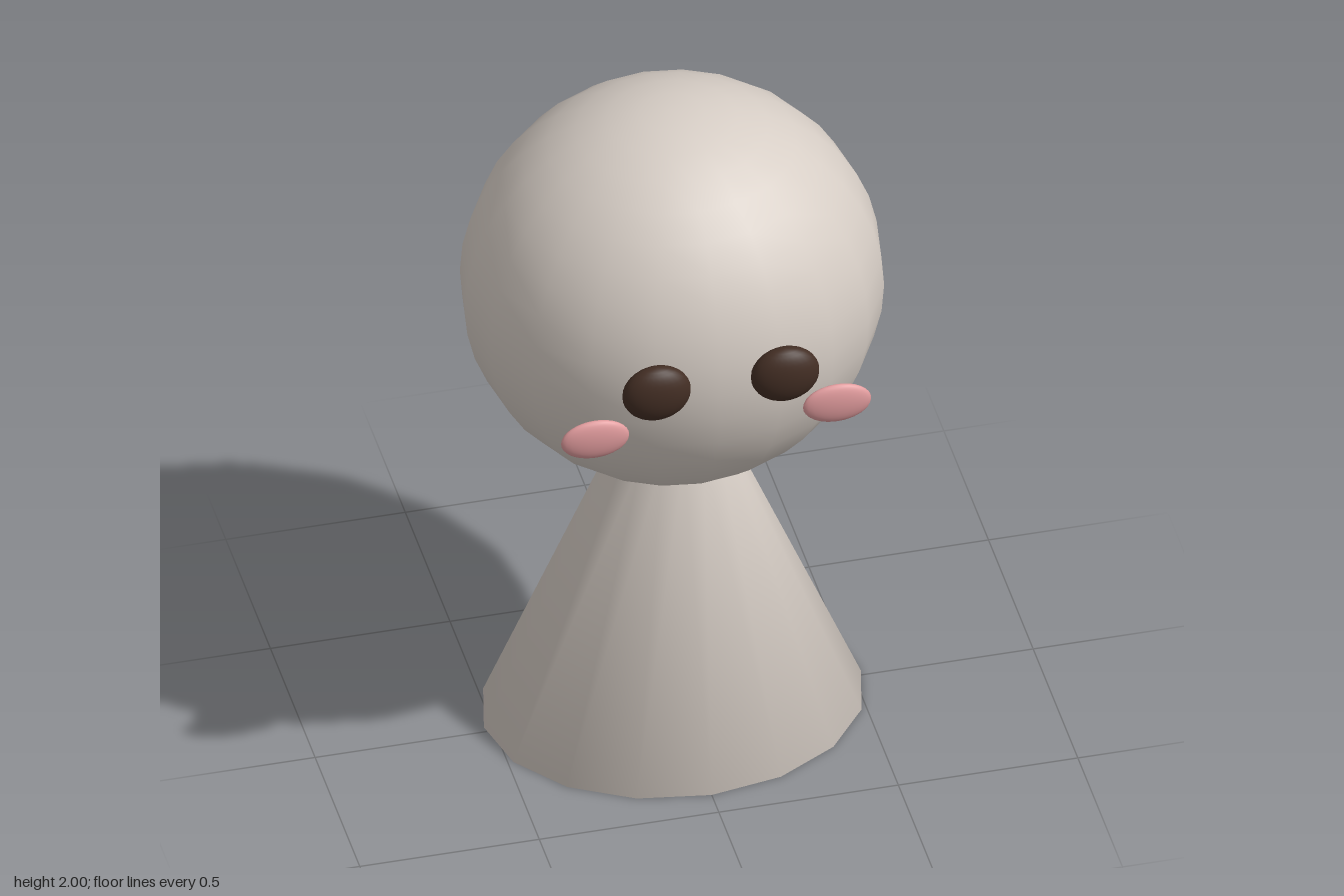
import * as THREE from 'three';
import { mergeVertices } from 'three/addons/utils/BufferGeometryUtils.js';

const mat = (name, color) => {
  const m = new THREE.MeshStandardMaterial({ color });
  m.name = name;
  return m;
};

export function createModel() {
  const clay = mat('warm grey', 0xd6cdc5);
  const brown = mat('dark brown', 0x432e24);
  const pink = mat('blush pink', 0xe29c9e);
  const group = new THREE.Group();
  group.name = 'pegFigure';

  const add = (name, geometry, material, x, y, z) => {
    const mesh = new THREE.Mesh(geometry, material);
    mesh.name = name;
    mesh.position.set(x, y, z);
    group.add(mesh);
  };
  const ellipsoid = (rx, ry, rz, w, h) =>
    new THREE.SphereGeometry(1, w, h).scale(rx, ry, rz);

  // Tapered oval body, closed, with normals shared across the rims
  let cone = new THREE.CylinderGeometry(0.152, 0.525, 0.9, 16, 1);
  cone.scale(1, 1, 0.84);
  cone.deleteAttribute('uv');
  cone.deleteAttribute('normal');
  cone = mergeVertices(cone);
  cone.computeVertexNormals();
  add('body', cone, clay, 0, 0.45, -0.02);

  // Round head
  add('head', ellipsoid(0.577, 0.57, 0.549, 20, 20), clay, 0, 1.43, -0.024);

  // Eyes and cheeks, mirrored
  for (const [side, s] of [['left', 1], ['right', -1]]) {
    add(side + 'Eye', ellipsoid(0.095, 0.086, 0.047, 24, 16), brown, s * 0.179, 1.477, 0.523);
    add(side + 'Cheek', ellipsoid(0.095, 0.061, 0.022, 24, 16), pink, s * 0.337, 1.309, 0.47);
  }
  return group;
}
